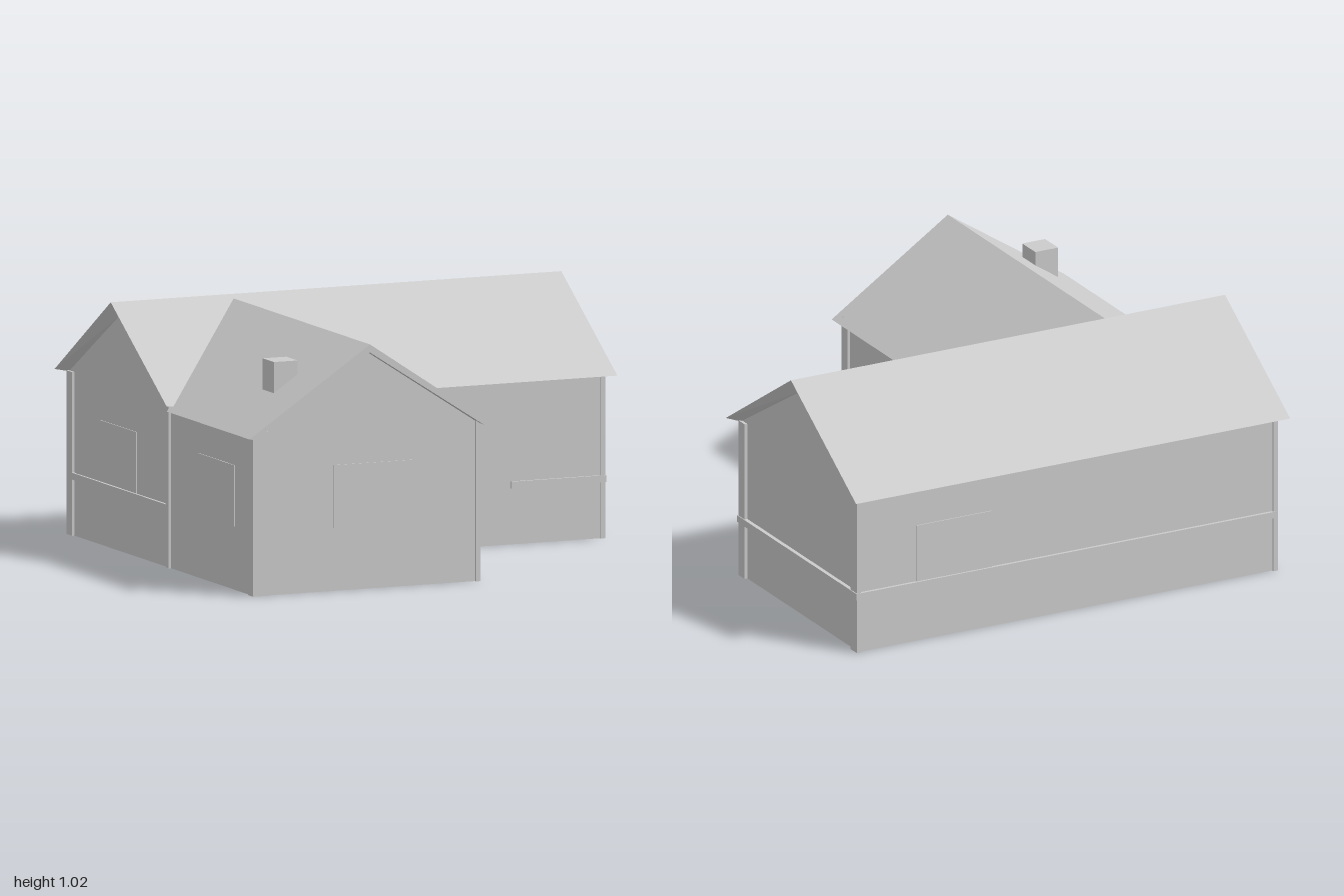
import * as THREE from 'three';

const mat = new THREE.MeshStandardMaterial({ color: 0xcccccc, side: THREE.DoubleSide, flatShading: true });

export function createModel() {
  const house = new THREE.Group();
  house.name = 'house';

  const add = (name, geometry) => {
    const mesh = new THREE.Mesh(geometry, mat);
    mesh.name = name;
    house.add(mesh);
    return mesh;
  };

  // Box given by its limits on each axis
  const box = (name, x0, x1, y0, y1, z0, z1) => {
    const g = new THREE.BoxGeometry(x1 - x0, y1 - y0, z1 - z0);
    g.translate((x0 + x1) / 2, (y0 + y1) / 2, (z0 + z1) / 2);
    return add(name, g);
  };

  // Flat-shaded surface from four-cornered faces
  const quads = (name, faces) => {
    const pos = [];
    for (const [a, b, c, d] of faces) pos.push(...a, ...b, ...c, ...a, ...c, ...d);
    const g = new THREE.BufferGeometry();
    g.setAttribute('position', new THREE.Float32BufferAttribute(pos, 3));
    g.computeVertexNormals();
    return add(name, g);
  };

  // Upright wall between two ground points
  const wall = (name, x0, z0, x1, z1, h) =>
    quads(name, [[[x0, 0, z0], [x1, 0, z1], [x1, h, z1], [x0, h, z0]]]);

  // Five-sided gable wall, drawn in the xy plane
  const gable = (name, half, eave, apex) => add(name, new THREE.ShapeGeometry(new THREE.Shape([
    new THREE.Vector2(-half, 0), new THREE.Vector2(half, 0), new THREE.Vector2(half, eave),
    new THREE.Vector2(0, apex), new THREE.Vector2(-half, eave),
  ])));

  // Thick pitched roof lofted between two six-point end sections
  const roof = (name, a, b) => {
    const faces = [[0, 1, 4, 5], [1, 2, 3, 4]].flatMap((q) => [q.map((i) => a[i]), q.map((i) => b[i]).reverse()]);
    for (let i = 0; i < 6; i++) {
      const j = (i + 1) % 6;
      faces.push([a[j], a[i], b[i], b[j]]);
    }
    return quads(name, faces);
  };

  // Rear wing walls
  wall('backWall', 0.955, -0.9, -0.96, -0.9, 0.68);
  wall('rearWingFrontWall', 0.03, 0.085, 0.955, 0.085, 0.68);
  for (const x of [-0.96, 0.955]) {
    const g = gable('rearWingGable', 0.492, 0.67, 0.965);
    g.rotation.y = x > 0 ? Math.PI / 2 : -Math.PI / 2;
    g.position.set(x, 0, -0.408);
  }

  // Front wing walls
  wall('frontWingInnerWall', 0.03, 0.91, 0.03, 0.085, 0.66);
  wall('frontWingOuterWall', -0.96, 0.085, -0.96, 0.91, 0.66);
  gable('frontGable', 0.495, 0.65, 0.972).position.set(-0.465, 0, 0.91);

  // Rear roof, its underside drawn in at the gable ends
  const rearEnd = (s) => [
    [s, 0.67, 0.14], [s, 1.02, -0.41], [s, 0.67, -0.96],
    [s * 0.96, 0.665, -0.91], [s * 0.96, 0.963, -0.41], [s * 0.96, 0.665, 0.09],
  ];
  roof('rearRoof', rearEnd(1), rearEnd(-1));

  // Front roof, mitred where it meets the rear roof
  const frontEnd = (zEave, zRidge, zInner) => [
    [-1, 0.65, zEave], [-0.465, 1.005, zRidge], [0.07, 0.65, zEave],
    [0.04, 0.645, zEave], [-0.465, 0.972, zInner], [-0.97, 0.645, zEave],
  ];
  roof('frontRoof', frontEnd(0.95, 0.95, 0.95), frontEnd(0.14, -0.39, -0.33));

  box('chimney', -0.785, -0.68, 0.73, 0.92, 0.605, 0.715);

  // Corner posts: x range, z range
  [
    [-0.97, -0.9, 0.9, 0.92], [-0.97, -0.955, 0.87, 0.92],
    [0.02, 0.04, 0.87, 0.92],
    [0.95, 0.968, 0.04, 0.092], [0.95, 0.968, -0.91, -0.855],
    [-0.97, -0.95, -0.91, -0.855],
    [-0.97, -0.95, 0.065, 0.092],
  ].forEach(([x0, x1, z0, z1]) => box('cornerPost', x0, x1, 0, 0.67, z0, z1));

  // Sill band around the rear wing
  box('sillBandBack', -0.965, 0.972, 0.23, 0.258, -0.912, -0.89);
  box('sillBandLeft', 0.945, 0.972, 0.23, 0.258, -0.91, 0.09);
  box('sillBandRight', -0.97, -0.95, 0.23, 0.258, -0.9, 0.085);
  box('sillBandFront', 0.55, 0.972, 0.23, 0.258, 0.07, 0.095);
  box('sillBandInside', -0.96, 0.55, 0.23, 0.258, 0.06, 0.08);

  // Windows, almost flush with the walls
  box('frontWindow', -0.61, -0.262, 0.258, 0.515, 0.905, 0.914);
  box('backWindow', 0.345, 0.69, 0.258, 0.5, -0.904, -0.895);

  // Side windows with shutters standing slightly open
  for (const z of [-0.42, 0.54]) {
    box('sideWindow', -0.964, -0.955, 0.26, 0.51, z - 0.18, z + 0.18);
    for (const s of [-1, 1]) {
      const hinge = z + s * 0.18, free = z + s * 0.33;
      quads('shutter', [[[-0.96, 0.27, hinge], [-0.998, 0.27, free], [-0.998, 0.505, free], [-0.96, 0.505, hinge]]]);
    }
  }

  // Small diagonal brace under the rear eave
  quads('eaveBrace', [[[-0.8, 0.65, -0.906], [-0.82, 0.65, -0.906], [-0.945, 0.52, -0.906], [-0.945, 0.495, -0.906]]]);

  return house;
}
